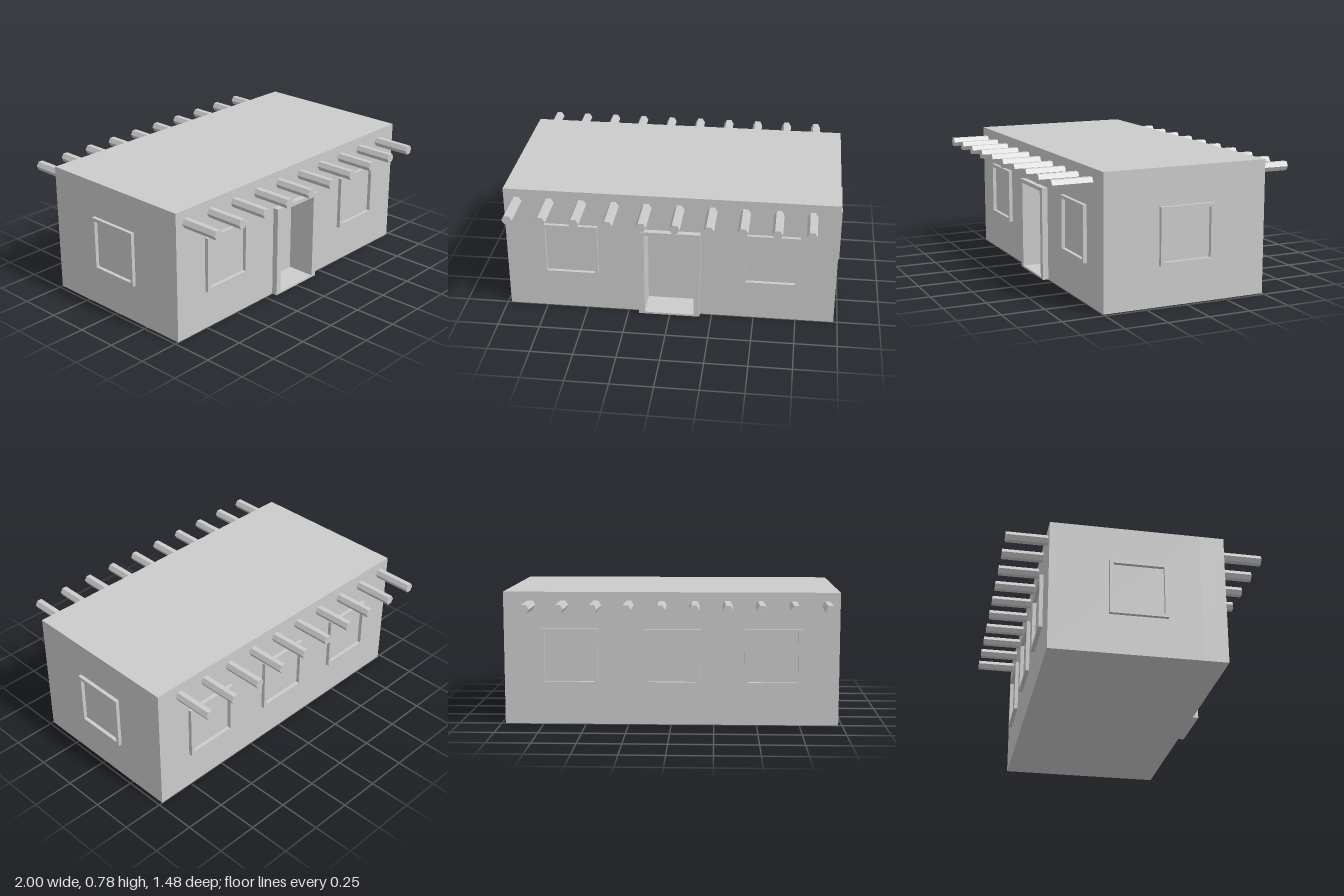
import * as THREE from 'three';

const material = new THREE.MeshStandardMaterial({ color: 0xcccccc, flatShading: true });
const W = 1.955, H = 0.78, D = 1.0;            // house size
const RECESS = 0.14;                           // door recess depth

function rect(target, x0, y0, x1, y1) {
  target.moveTo(x0, y0);
  target.lineTo(x1, y0);
  target.lineTo(x1, y1);
  target.lineTo(x0, y1);
  target.closePath();
  return target;
}

// Rectangular plate with a rectangular opening, extruded along +z
function openPlate(outer, inner, depth) {
  const shape = rect(new THREE.Shape(), ...outer);
  shape.holes.push(rect(new THREE.Path(), ...inner));
  return new THREE.ExtrudeGeometry(shape, { depth, bevelEnabled: false });
}

function add(parent, name, geometry, x = 0, y = 0, z = 0) {
  const mesh = new THREE.Mesh(geometry, material);
  mesh.name = name;
  mesh.position.set(x, y, z);
  parent.add(mesh);
  return mesh;
}

export function createModel() {
  const model = new THREE.Group();
  model.name = 'flatRoofHouse';

  // Walls: solid rear block plus a front wall pierced by the doorway
  const doorway = [-0.15, 0.012, 0.145, 0.537];
  add(model, 'houseBody', new THREE.BoxGeometry(W, H, D - RECESS), 0, H / 2, -RECESS / 2);
  add(model, 'frontWall', openPlate([-W / 2, 0, W / 2, H], doorway, RECESS), 0, 0, D / 2 - RECESS);

  // Door frame standing proud of the wall
  add(model, 'doorFrame', openPlate([-0.185, 0, 0.18, 0.56], doorway, 0.035), 0, 0, D / 2);

  // Window frames: [x, z, turn about y]
  const s = 0.165, t = 0.145;
  const frame = openPlate([-s, -s, s, s], [-t, -t, t, t], 0.022);
  const windows = [
    [-0.593, D / 2, 0], [0.593, D / 2, 0],
    [-0.593, -D / 2, Math.PI], [-0.005, -D / 2, Math.PI], [0.593, -D / 2, Math.PI],
    [W / 2, 0, Math.PI / 2], [-W / 2, 0, -Math.PI / 2],
  ];
  for (const [x, z, turn] of windows) {
    add(model, 'windowFrame', frame, x, 0.4, z).rotation.y = turn;
  }

  // Hexagonal roof beams projecting from front and back
  const beam = new THREE.CylinderGeometry(0.03, 0.03, 0.26, 6);
  beam.rotateY(Math.PI / 2);
  beam.rotateX(Math.PI / 2);
  for (let i = 0; i < 10; i++) {
    for (const side of [1, -1]) {
      add(model, side > 0 ? 'frontBeam' : 'backBeam', beam, -0.9 + i * 0.191, 0.704, side * 0.608);
    }
  }

  return model;
}
